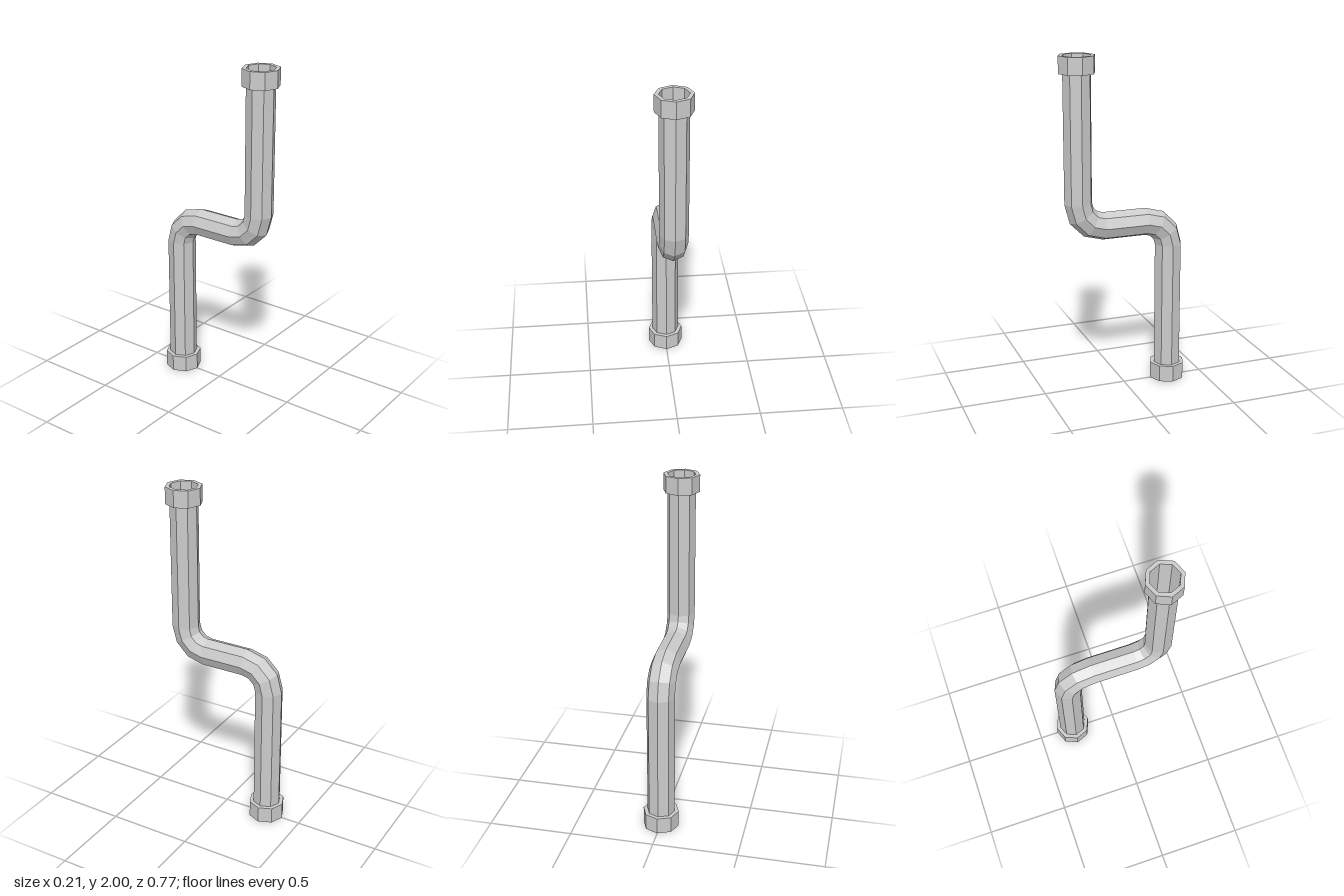
import * as THREE from 'three';

const SIDES = 8;
const PIPE_R = 0.083;
const COLLAR_R = 0.107;
const COLLAR_H = 0.1;
const OFFSET = 0.279; // z of the two upright runs
const BEND_R = 0.147;
const BEND_STEPS = 3;
const MID_Y = 1.006; // height of the level run

// Cross-sections from top to bottom: centre (y, z) and tilt of the section
function pipeSections() {
  const rows = [{ y: 2, z: OFFSET, tilt: 0 }];
  const bendZ = OFFSET - BEND_R;
  for (let i = 0; i <= BEND_STEPS; i++) {
    const a = (i / BEND_STEPS) * Math.PI / 2;
    rows.push({
      y: MID_Y + BEND_R * (1 - Math.sin(a)),
      z: bendZ + BEND_R * Math.cos(a),
      tilt: a,
    });
  }
  // The lower bend is the upper one turned half a revolution
  const upper = rows.slice().reverse();
  for (const s of upper) {
    rows.push({ y: s.y === 2 ? 0 : 2 * MID_Y - s.y, z: -s.z, tilt: s.tilt });
  }
  return rows;
}

// An open cylinder whose rings are moved onto the cross-sections
function pipeGeometry() {
  const rows = pipeSections();
  const geo = new THREE.CylinderGeometry(PIPE_R, PIPE_R, 1, SIDES, rows.length - 1, true);
  const pos = geo.attributes.position;
  for (let i = 0; i < pos.count; i++) {
    const s = rows[Math.floor(i / (SIDES + 1))];
    const r = pos.getZ(i);
    pos.setY(i, s.y - r * Math.sin(s.tilt));
    pos.setZ(i, s.z + r * Math.cos(s.tilt));
  }
  geo.computeVertexNormals();
  return geo;
}

export function createModel() {
  const group = new THREE.Group();
  const material = new THREE.MeshStandardMaterial({
    color: 0xcccccc, flatShading: true, side: THREE.DoubleSide,
  });

  // Hollow pipe with two bends
  const pipe = new THREE.Mesh(pipeGeometry(), material);
  pipe.name = 'bentPipe';
  group.add(pipe);

  // Collars around both open ends; the pipe wall is their inside
  const profile = [
    [PIPE_R, 0], [COLLAR_R, 0], [COLLAR_R, COLLAR_H], [PIPE_R, COLLAR_H],
  ].map(([r, y]) => new THREE.Vector2(r, y));
  const collarGeo = new THREE.LatheGeometry(profile, SIDES);
  for (const [name, y, z] of [
    ['upperCollar', 2 - COLLAR_H, OFFSET],
    ['lowerCollar', 0, -OFFSET],
  ]) {
    const collar = new THREE.Mesh(collarGeo, material);
    collar.name = name;
    collar.position.set(0, y, z);
    group.add(collar);
  }
  return group;
}
